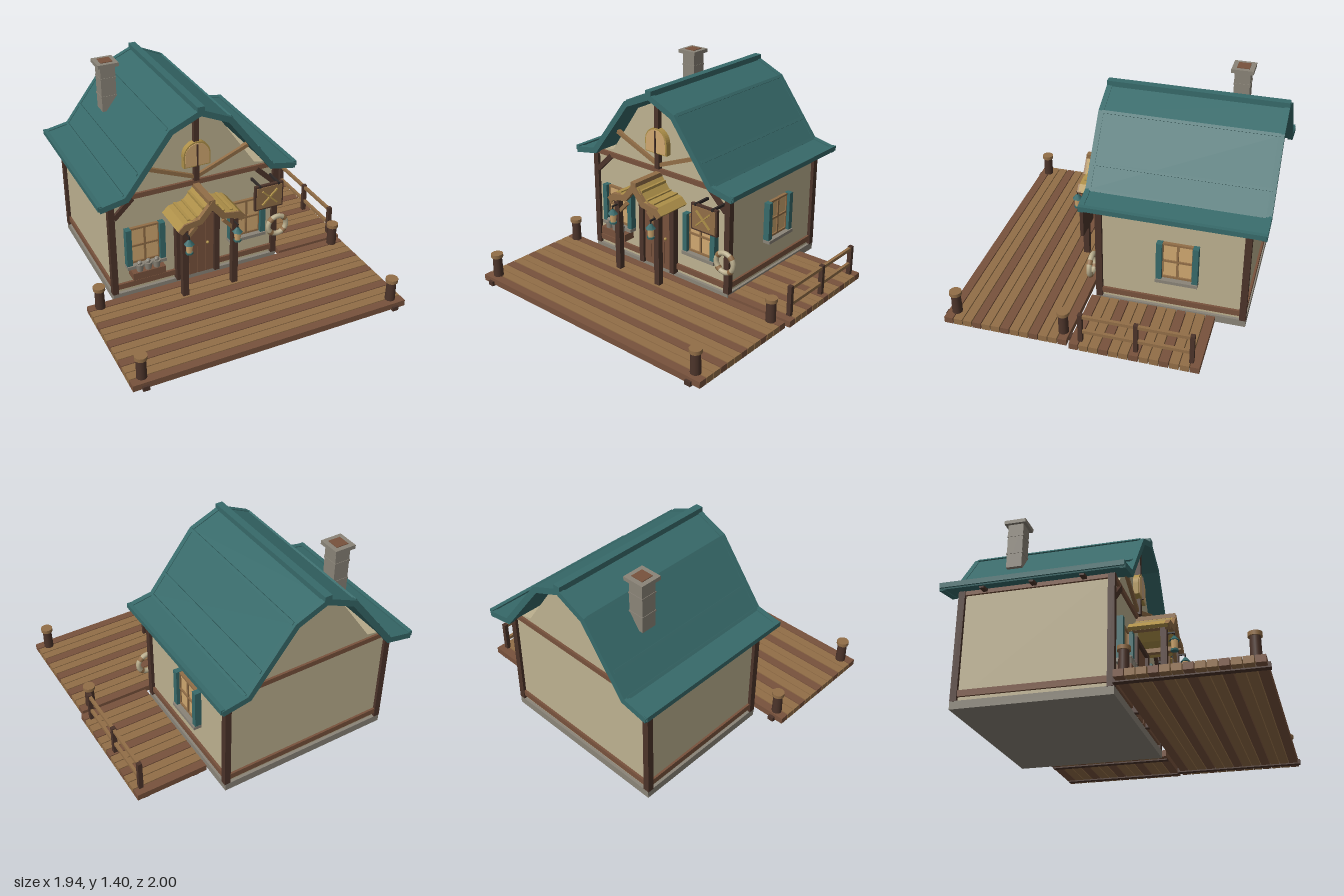
import * as THREE from 'three';

const mat = (name, color) => Object.assign(new THREE.MeshStandardMaterial({ color }), { name });
const M = {
  plaster: mat('plaster', 0xbdb190), teal: mat('teal', 0x376a6a), dark: mat('darkWood', 0x4c342a),
  red: mat('redWood', 0x78523c), light: mat('lightWood', 0x926e47), straw: mat('straw', 0xae9049),
  glass: mat('warmGlass', 0xd0a870), stone: mat('stone', 0x8a8478), iron: mat('iron', 0x2e2826),
};
const CX = -0.157; // house centre line

export function createModel() {
  const root = new THREE.Group();
  root.name = 'cottage';

  const add = (name, geo, m, x = 0, y = 0, z = 0, parent = root) => {
    const mesh = new THREE.Mesh(geo, m);
    mesh.name = name;
    mesh.position.set(x, y, z);
    parent.add(mesh);
    return mesh;
  };
  const box = (name, m, x0, x1, y0, y1, z0, z1, parent = root) =>
    add(name, new THREE.BoxGeometry(x1 - x0, y1 - y0, z1 - z0), m, (x0 + x1) / 2, (y0 + y1) / 2, (z0 + z1) / 2, parent);
  const cyl = (name, m, rt, rb, y0, y1, x, z, sides = 12, parent = root) =>
    add(name, new THREE.CylinderGeometry(rt, rb, y1 - y0, sides), m, x, (y0 + y1) / 2, z, parent);
  // Straight timber between two points in an upright plane
  const beam = (name, m, x0, y0, x1, y1, w, z0, z1, parent = root) => {
    const b = add(name, new THREE.BoxGeometry(Math.hypot(x1 - x0, y1 - y0), w, z1 - z0), m,
      (x0 + x1) / 2, (y0 + y1) / 2, (z0 + z1) / 2, parent);
    b.rotation.z = Math.atan2(y1 - y0, x1 - x0);
    return b;
  };
  const extrude = (name, m, pts, z0, z1) => add(name,
    new THREE.ExtrudeGeometry(new THREE.Shape(pts.map(p => new THREE.Vector2(p[0], p[1]))), { depth: z1 - z0, bevelEnabled: false }),
    m, CX, 0, z0);
  // Mirrors a half profile running from the apex outwards
  const mirror = half => [...half.slice(1).reverse().map(([x, y]) => [-x, y]), ...half];
  // Bent sheet of even thickness below a profile
  const band = (name, m, half, t, z0, z1) => {
    const p = mirror(half);
    const normal = (a, b) => {
      const l = Math.hypot(b[0] - a[0], b[1] - a[1]);
      return [(b[1] - a[1]) / l, -(b[0] - a[0]) / l];
    };
    const inner = p.map((q, i) => {
      const a = normal(p[Math.max(i - 1, 0)], p[Math.max(i, 1)]);
      const b = normal(p[Math.min(i, p.length - 2)], p[Math.min(i + 1, p.length - 1)]);
      const k = t / (1 + a[0] * b[0] + a[1] * b[1]);
      return [q[0] + (a[0] + b[0]) * k, q[1] + (a[1] + b[1]) * k];
    });
    return extrude(name, m, [...p, ...inner.reverse()], z0, z1);
  };

  // House body
  box('foundation', M.stone, -0.767, 0.453, 0, 0.052, -0.905, 0.1);
  box('walls', M.plaster, -0.748, 0.434, 0.05, 0.785, -0.885, 0.078);
  extrude('gable', M.plaster, mirror([[0, 1.248], [0.19, 1.165], [0.435, 0.81], [0.575, 0.785]]).reverse(), -0.885, 0.078);
  for (const x of [-0.77, 0.415]) for (const z of [-0.905, 0.057]) {
    box('cornerPost', M.dark, x, x + 0.042, 0.05, 0.79, z, z + 0.043);
  }
  for (const [y0, y1] of [[0.08, 0.12], [0.752, 0.787]]) {
    for (const z of [-0.9, 0.065]) box('wallBeam', M.red, -0.73, 0.416, y0, y1, z, z + 0.03);
    for (const x of [-0.763, 0.422]) box('sideBeam', M.red, x, x + 0.028, y0, y1, -0.865, 0.06);
  }

  // Front timbering
  box('kingPost', M.dark, CX - 0.018, CX + 0.018, 0.787, 1.275, 0.07, 0.11);
  for (const s of [-1, 1]) {
    beam('cornerBrace', M.dark, CX + s * 0.575, 0.635, CX + s * 0.445, 0.76, 0.035, 0.07, 0.1);
    beam('gableBrace', M.light, CX + s * 0.375, 0.96, CX + s * 0.015, 0.815, 0.026, 0.07, 0.1);
  }

  // Main roof
  const roof = [[0, 1.328], [0.217, 1.232], [0.524, 0.83], [0.695, 0.797]];
  band('roof', M.teal, roof.map(([x, y]) => [x, y - 0.006]), 0.028, -0.985, 0.17);
  band('frontBarge', M.teal, roof, 0.04, 0.15, 0.185);
  band('backBarge', M.teal, roof, 0.04, -1, -0.965);
  box('ridgeCap', M.teal, CX - 0.025, CX + 0.025, 1.3, 1.348, -1, 0.185);
  for (const s of [-1, 1]) {
    box('eaveBoard', M.teal, CX + s * 0.688 - 0.014, CX + s * 0.688 + 0.014, 0.772, 0.806, -0.995, 0.18);
    for (const [x, y] of [[0.217, 1.224], [0.424, 0.957], [0.524, 0.825]]) {
      const b = add('roofBatten', new THREE.BoxGeometry(0.02, 0.018, 1.14), M.teal, CX + s * x, y, -0.41);
      b.rotation.z = -s * 0.9;
    }
    for (const z of [-0.73, -0.41, -0.09]) {
      beam('rafterTail', M.dark, CX + s * 0.59, 0.772, CX + s * 0.67, 0.766, 0.022, z - 0.015, z + 0.015);
    }
  }

  // Chimney
  box('chimney', M.stone, -0.535, -0.43, 1.05, 1.375, -0.703, -0.597);
  for (const y of [1.15, 1.28]) box('chimneyCourse', M.stone, -0.538, -0.427, y, y + 0.012, -0.706, -0.594);
  box('chimneyCap', M.stone, -0.556, -0.409, 1.372, 1.398, -0.724, -0.576);
  box('flue', M.red, -0.525, -0.44, 1.39, 1.402, -0.692, -0.608);

  // Arched attic window
  const arch = (w, y0, y1) => {
    const s = new THREE.Shape();
    s.moveTo(-w, y0); s.lineTo(w, y0); s.lineTo(w, y1);
    s.absarc(0, y1, w, 0, Math.PI);
    return s;
  };
  const archGeo = (s, depth) => new THREE.ExtrudeGeometry(s, { depth, bevelEnabled: false, curveSegments: 10 });
  add('atticFrame', archGeo(arch(0.094, 0.9, 0.982), 0.042), M.straw, CX, 0, 0.075);
  add('atticGlass', archGeo(arch(0.084, 0.908, 0.982), 0.006), M.glass, CX, 0, 0.115);
  box('atticMullion', M.dark, CX - 0.005, CX + 0.005, 0.9, 1.06, 0.115, 0.127);

  // Shuttered windows, built facing +z
  const shuttered = (x, y, z, turn) => {
    const g = new THREE.Group();
    g.name = 'window';
    g.position.set(x, y, z);
    g.rotation.y = turn;
    root.add(g);
    box('windowGlass', M.glass, -0.1, 0.1, -0.13, 0.135, 0, 0.012, g);
    for (const v of [-0.1, 0, 0.1]) box('windowBar', M.light, v - 0.007, v + 0.007, -0.13, 0.135, 0, 0.022, g);
    for (const v of [-0.126, 0, 0.13]) box('windowRail', M.light, -0.1, 0.1, v - 0.007, v + 0.007, 0, 0.022, g);
    for (const s of [-1, 1]) box('shutter', M.teal, s * 0.118 - 0.019, s * 0.118 + 0.019, -0.137, 0.14, 0, 0.045, g);
    box('windowSill', M.stone, -0.138, 0.138, -0.158, -0.135, 0, 0.055, g);
  };
  shuttered(CX - 0.373, 0.4, 0.078, 0);
  shuttered(CX + 0.373, 0.4, 0.078, 0);
  shuttered(0.434, 0.43, -0.445, Math.PI / 2);

  // Planter with pots
  box('planter', M.red, -0.645, -0.415, 0.18, 0.232, 0.08, 0.17);
  for (const x of [-0.59, -0.53, -0.47]) {
    cyl('pot', M.stone, 0.026, 0.02, 0.225, 0.282, x, 0.145, 10);
    add('plant', new THREE.IcosahedronGeometry(0.019, 0), M.stone, x, 0.292, 0.145);
  }

  // Door
  for (let i = 0; i < 4; i++) {
    box('doorPlank', M.red, CX - 0.122 + i * 0.061, CX - 0.063 + i * 0.061, 0.055, 0.53, 0.078, 0.105);
  }
  for (const s of [-1, 1]) box('doorJamb', M.dark, CX + s * 0.14 - 0.019, CX + s * 0.14 + 0.019, 0.05, 0.555, 0.075, 0.125);
  box('doorLintel', M.dark, CX - 0.159, CX + 0.159, 0.53, 0.56, 0.075, 0.125);
  add('doorKnob', new THREE.SphereGeometry(0.011, 10, 8), M.straw, -0.083, 0.29, 0.113);

  // Porch
  const porch = [[0, 0.757], [0.092, 0.648], [0.195, 0.632], [0.238, 0.59]];
  band('porchRoof', M.straw, porch, 0.025, 0.078, 0.335);
  band('porchBarge', M.light, porch, 0.042, 0.315, 0.345);
  box('porchRidge', M.light, CX - 0.022, CX + 0.022, 0.732, 0.762, 0.08, 0.34);
  for (const s of [-1, 1]) {
    for (const [x, y] of [[0.045, 0.705], [0.092, 0.65], [0.15, 0.642]]) {
      box('porchSlat', M.straw, CX + s * x - 0.01, CX + s * x + 0.01, y - 0.015, y + 0.006, 0.08, 0.315);
    }
    const x = CX + s * 0.179;
    box('porchPlate', M.light, x - 0.02, x + 0.02, 0.582, 0.613, 0.08, 0.34);
    box('porchPost', M.dark, x - 0.021, x + 0.021, 0.055, 0.59, 0.28, 0.32);
    beam('porchBrace', M.light, x - s * 0.015, 0.5, x - s * 0.085, 0.575, 0.024, 0.29, 0.312);
    // Hanging lantern
    const lx = CX + s * 0.172, lz = 0.363;
    box('lanternArm', M.iron, lx - 0.005, lx + 0.005, 0.545, 0.555, 0.31, lz + 0.005);
    cyl('lanternHook', M.iron, 0.004, 0.004, 0.52, 0.55, lx, lz, 6);
    cyl('lanternCap', M.teal, 0.008, 0.036, 0.495, 0.528, lx, lz, 6);
    cyl('lanternLight', M.glass, 0.024, 0.02, 0.435, 0.497, lx, lz, 6);
    cyl('lanternBase', M.teal, 0.026, 0.026, 0.424, 0.437, lx, lz, 6);
  }

  // Hanging sign with crossed oars
  for (const x of [0.26, 0.4]) box('signArm', M.iron, x - 0.007, x + 0.007, 0.675, 0.692, 0.078, 0.21);
  box('signBoard', M.dark, 0.224, 0.437, 0.503, 0.688, 0.183, 0.205);
  box('signPanel', M.light, 0.236, 0.425, 0.516, 0.675, 0.203, 0.211);
  for (const s of [-1, 1]) beam('oar', M.straw, 0.33 - s * 0.055, 0.545, 0.33 + s * 0.055, 0.65, 0.01, 0.21, 0.222);

  // Life ring with wrapped bands
  const ring = (name, m, tube, arc, turn) => {
    const r = add(name, new THREE.TorusGeometry(0.07, tube, 8, arc > 3 ? 24 : 4, arc), m, 0.445, 0.295, 0.128);
    r.rotation.z = turn;
  };
  ring('lifeRing', M.plaster, 0.018, Math.PI * 2, 0);
  for (let i = 0; i < 4; i++) ring('ringBand', M.light, 0.0205, 0.38, i * Math.PI / 2 + Math.PI / 4 - 0.19);

  // Decks: planks on joists
  const deck = (x0, x1, z0, z1) => {
    const step = (z1 - z0) / 13;
    for (let i = 0; i < 13; i++) {
      box('deckPlank', i % 3 ? M.light : M.red, x0, x1, 0.018, 0.061, z0 + i * step + 0.003, z0 + (i + 1) * step - 0.003);
    }
  };
  deck(-0.97, 0.945, 0.145, 0.982);
  deck(0.475, 0.966, -0.712, 0.128);
  for (const x of [-0.89, 0.865]) box('joist', M.dark, x - 0.021, x + 0.021, 0.01, 0.042, 0.127, 0.995);
  for (const x of [0.55, 0.9]) box('sideJoist', M.dark, x - 0.02, x + 0.02, 0.01, 0.042, -0.705, 0.12);

  // Mooring posts
  for (const x of [-0.892, 0.865]) for (const z of [0.19, 0.92]) {
    cyl('mooringPost', M.dark, 0.031, 0.034, 0.055, 0.205, x, z);
    cyl('mooringCap', M.light, 0.041, 0.041, 0.2, 0.225, x, z);
  }

  // Side railing
  for (const z of [-0.652, -0.297, 0.06]) box('railPost', M.dark, 0.902, 0.932, 0.055, 0.272, z - 0.014, z + 0.014);
  for (const y of [0.14, 0.255]) box('rail', M.light, 0.907, 0.927, y - 0.011, y + 0.011, -0.66, 0.068);

  return root;
}
